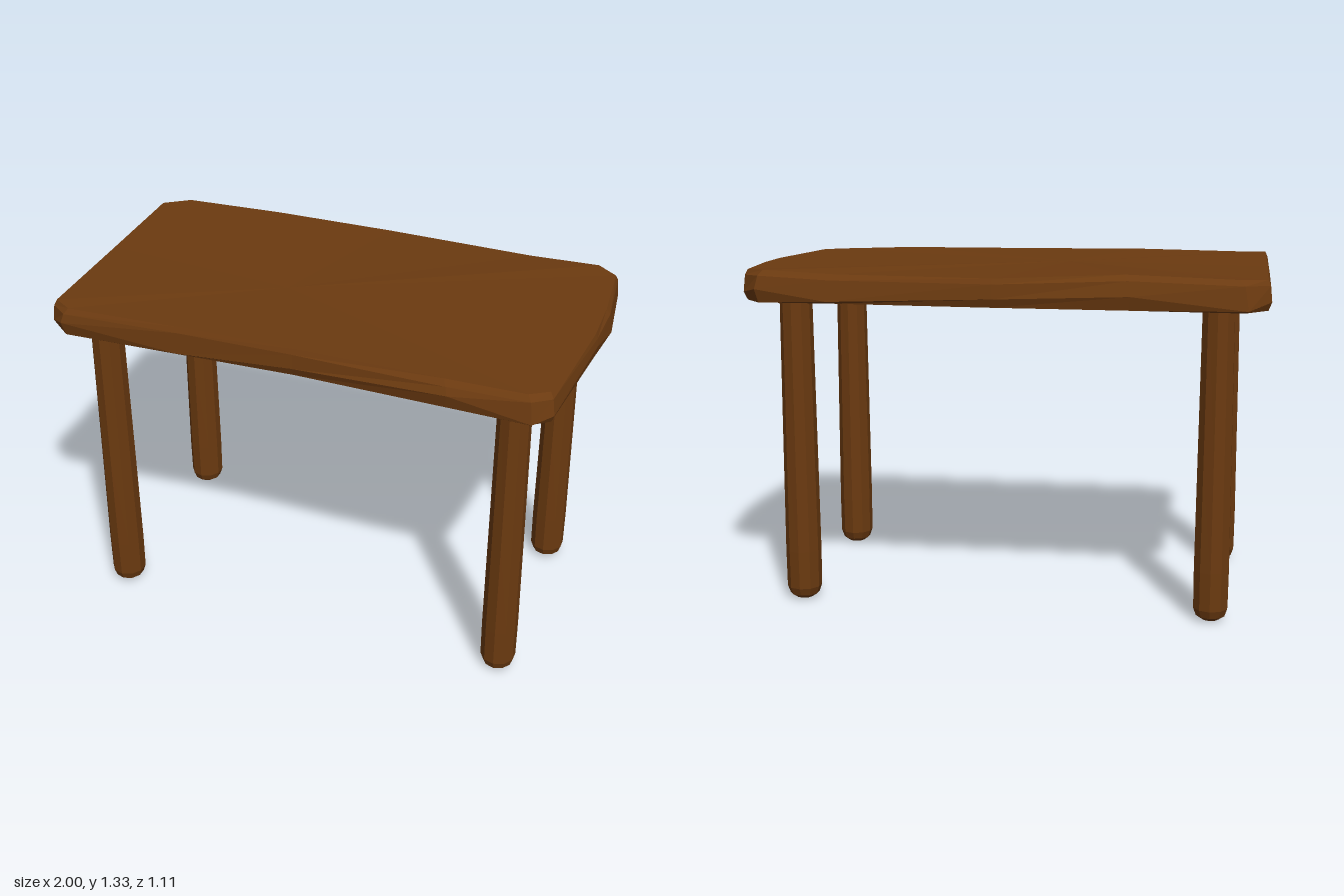
import * as THREE from 'three';

const wood = new THREE.MeshStandardMaterial({ color: 0x6b3a10, flatShading: true, roughness: 0.9 });

// Widest outline of the slab, anticlockwise from above: x, z, top y, bottom y, inset of the top edge
const outline = [
  [-0.98, 0.50, 1.31, 1.20, 0.015], [-0.92, 0.55, 1.305, 1.2, 0.025],
  [-0.45, 0.54, 1.31, 1.2, 0.02], [0, 0.53, 1.305, 1.2, 0.015],
  [0.58, 0.55, 1.3, 1.2, 0.035], [0.88, 0.53, 1.29, 1.18, 0.03],
  [0.945, 0.48, 1.29, 1.18, 0.025], [0.99, 0.02, 1.30, 1.2, 0.012],
  [1.0, -0.18, 1.305, 1.2, 0.025], [0.965, -0.46, 1.31, 1.195, 0.015],
  [0.9, -0.53, 1.315, 1.195, 0.03], [0.62, -0.55, 1.305, 1.2, 0.04],
  [0, -0.555, 1.305, 1.2, 0.02], [-0.5, -0.545, 1.325, 1.2, 0.045],
  [-0.92, -0.545, 1.315, 1.2, 0.04], [-1.0, -0.46, 1.31, 1.2, 0.015],
  [-0.99, 0, 1.305, 1.2, 0.01],
];

// Slab made of stacked rings, closed by a fan at each end
function slabGeometry() {
  const n = outline.length;
  const verts = [], index = [];
  const addRing = (yAt, insetAt) => outline.forEach((p, i) => {
    const f = insetAt(p, i);
    verts.push(p[0] - Math.sign(p[0]) * f * Math.min(1, Math.abs(p[0])), yAt(p, i), p[1] - Math.sign(p[1]) * f * Math.min(1, Math.abs(p[1]) * 2));
  });
  addRing(p => p[3], p => 0.012);
  addRing((p, i) => p[3] + 0.03 + 0.025 * Math.sin(i * 2.1), () => 0);
  addRing(p => p[2] - 0.02, p => p[4] * 0.4);
  addRing(p => p[2], p => p[4]);
  verts.push(0, 1.2, 0, -0.2, 1.303, 0.08);
  for (let i = 0; i < n; i++) {
    const j = (i + 1) % n;
    for (let r = 0; r < 3; r++) {
      const a = r * n + i, b = r * n + j;
      index.push(a, b, b + n, a, b + n, a + n);
    }
    index.push(4 * n, j, i, 4 * n + 1, 3 * n + i, 3 * n + j);
  }
  const g = new THREE.BufferGeometry();
  g.setAttribute('position', new THREE.Float32BufferAttribute(verts, 3));
  g.setIndex(index);
  g.computeVertexNormals();
  return g;
}

// Leg: faceted post with a rounded foot, slimmer towards the top in x
function legGeometry() {
  const profile = [[0, 0], [0.035, 0.004], [0.058, 0.02], [0.069, 0.05], [0.071, 0.2], [0.07, 0.6], [0.068, 1.23], [0, 1.23]]
    .map(([r, y]) => new THREE.Vector2(r, y));
  const g = new THREE.LatheGeometry(profile, 10);
  const pos = g.attributes.position;
  for (let i = 0; i < pos.count; i++) {
    pos.setX(i, pos.getX(i) * (0.98 - 0.07 * pos.getY(i)));
  }
  g.computeVertexNormals();
  return g;
}

export function createModel() {
  const table = new THREE.Group();
  table.name = 'table';

  const top = new THREE.Mesh(slabGeometry(), wood);
  top.name = 'tableTop';
  table.add(top);

  const geometry = legGeometry();
  for (const [side, x] of [['Left', 0.79], ['Right', -0.81]]) {
    for (const [end, z] of [['front', 0.405], ['back', -0.37]]) {
      const leg = new THREE.Mesh(geometry, wood);
      leg.name = `${end}${side}Leg`;
      leg.position.set(x, 0, z);
      table.add(leg);
    }
  }
  return table;
}
